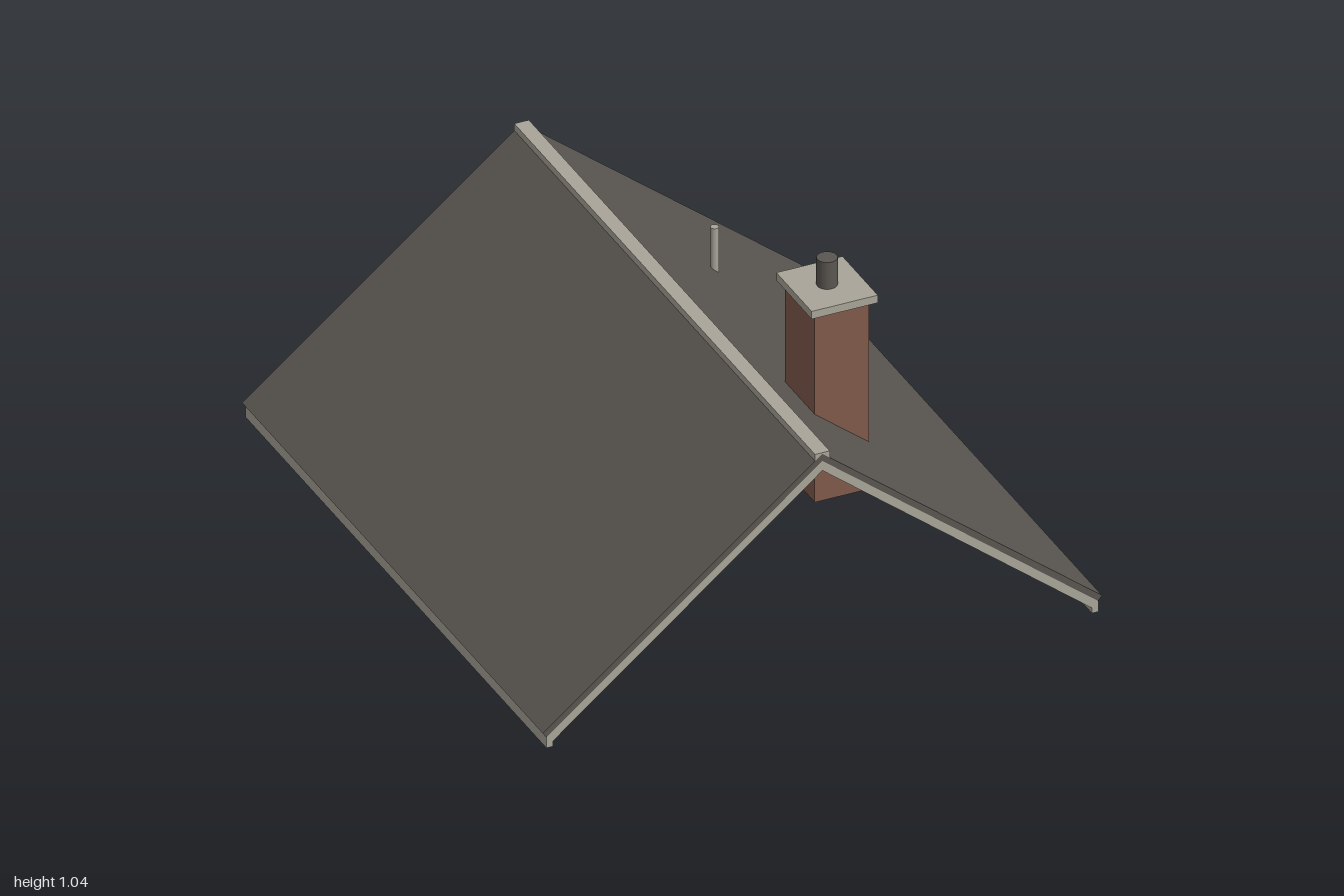
import * as THREE from 'three';

const paint = (name, color) => {
  const m = new THREE.MeshStandardMaterial({ color });
  m.name = name;
  return m;
};

export function createModel() {
  const shingle = paint('dark shingle', 0x5a5650);
  const trim = paint('pale trim', 0xa8a498);
  const brick = paint('brown brick', 0x80594a);

  const model = new THREE.Group();
  model.name = 'gableRoof';
  const half = 0.974; // half the roof length

  const add = (name, geometry, material, x = 0, y = 0, z = 0) => {
    const mesh = new THREE.Mesh(geometry, material);
    mesh.name = name;
    mesh.position.set(x, y, z);
    model.add(mesh);
    return mesh;
  };

  // Inverted V section, given as the right half of its outer and inner lines
  const chevron = (apexOut, eaveOut, eaveIn, apexIn, depth) => {
    const shape = new THREE.Shape([
      [0, apexOut], [-eaveOut[0], eaveOut[1]], [-eaveIn[0], eaveIn[1]],
      [0, apexIn], eaveIn, eaveOut,
    ].map(([x, y]) => new THREE.Vector2(x, y)));
    return new THREE.ExtrudeGeometry(shape, { depth, bevelEnabled: false });
  };

  // Roof slopes
  add('roofSlopes', chevron(0.734, [0.858, 0.05], [0.846, 0.035], 0.711, 2 * half), shingle, 0, 0, -half);

  // Boards under both gable edges
  const board = 0.02;
  for (const [name, z] of [['frontBargeBoard', half - board], ['backBargeBoard', -half]]) {
    add(name, chevron(0.711, [0.846, 0.035], [0.846, 0.002], 0.68, board), trim, 0, 0, z);
  }

  // Boards under both eaves
  for (const [name, s] of [['leftFascia', 1], ['rightFascia', -1]]) {
    add(name, new THREE.BoxGeometry(board, 0.037, 2 * half), trim, s * 0.837, 0.0185, 0);
  }

  // Ridge cap
  add('ridgeCap', new THREE.BoxGeometry(0.045, 0.022, 2 * half), trim, 0, 0.727, 0);

  // Chimney
  const cx = 0.244, cz = 0.489;
  add('chimneyShaft', new THREE.BoxGeometry(0.167, 0.61, 0.193), brick, cx, 0.625, cz);
  add('chimneyCap', new THREE.BoxGeometry(0.203, 0.025, 0.229), trim, cx, 0.9425, cz);
  add('chimneyFlue', new THREE.CylinderGeometry(0.03, 0.03, 0.09, 16), shingle, cx, 0.997, cz);

  // Vent pipe through the right-hand slope
  add('ventPipe', new THREE.CylinderGeometry(0.0125, 0.0125, 0.18, 10), trim, 0.342, 0.51, -0.445);

  // The whole roof sits slightly turned
  model.rotation.y = -0.03;
  const root = new THREE.Group();
  root.name = 'roof';
  root.add(model);
  return root;
}
